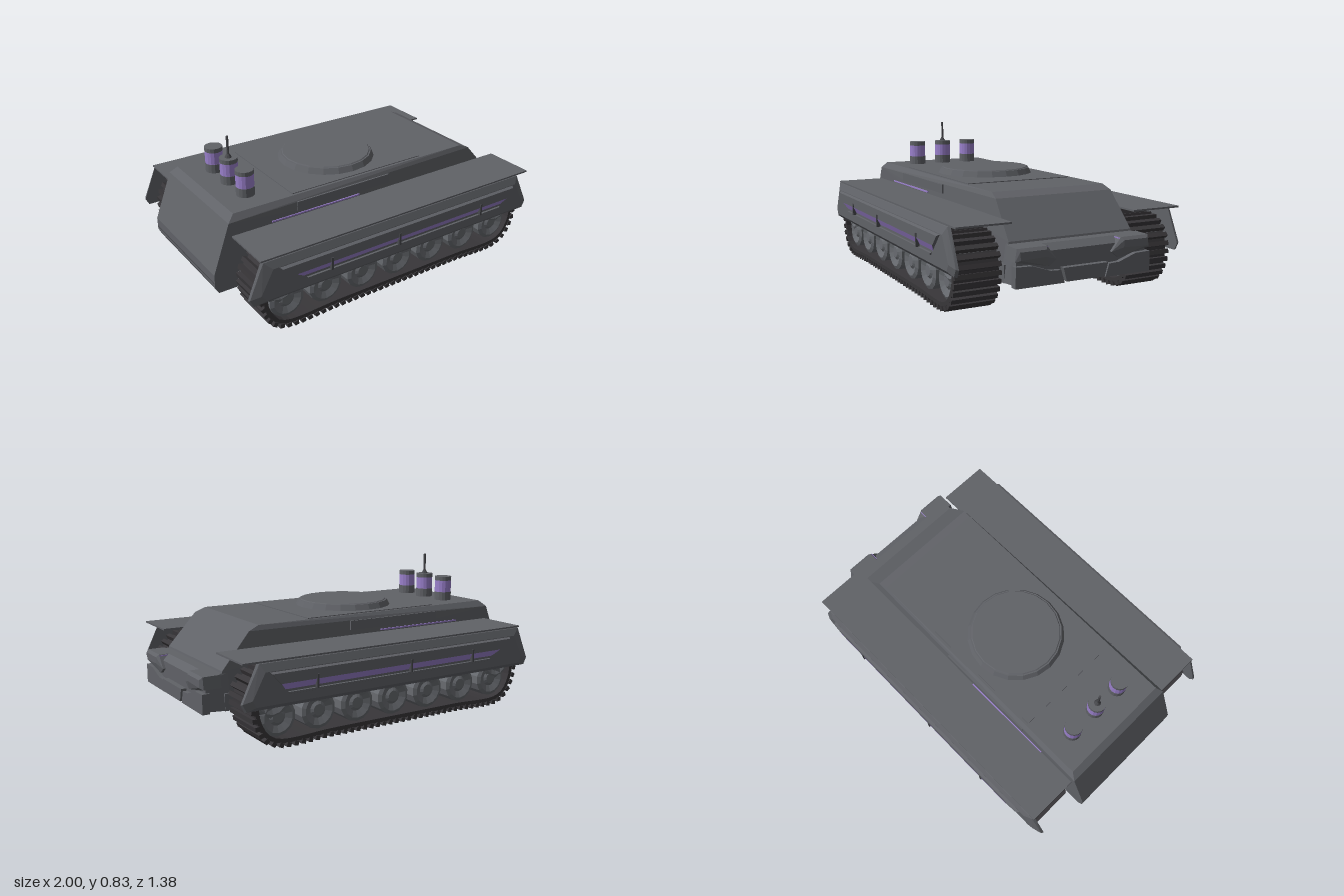
import * as THREE from 'three';
import { mergeGeometries } from 'three/addons/utils/BufferGeometryUtils.js';
import { ConvexGeometry } from 'three/addons/geometries/ConvexGeometry.js';

export function createModel() {
  const model = new THREE.Group();
  model.name = 'trackedCarrier';
  const paint = (name, color, flat = true) => {
    const m = new THREE.MeshStandardMaterial({ color, flatShading: flat });
    m.name = name;
    return m;
  };
  const armor = paint('armorGrey', 0x606267);
  const metal = paint('wheelGrey', 0x686b70);
  const dark = paint('trackBlack', 0x383639);
  const trim = paint('darkTrim', 0x48494d);
  const purple = paint('purple', 0x9a80cc);

  const add = (name, geo, mat, x = 0, y = 0, z = 0) => {
    const mesh = new THREE.Mesh(geo, mat);
    mesh.name = name;
    mesh.position.set(x, y, z);
    model.add(mesh);
    return mesh;
  };
  const convex = (pts) => new ConvexGeometry(pts.map((p) => new THREE.Vector3(...p)));
  const bothSides = (pts) => convex(pts.flatMap(([x, y, z]) => [[x, y, z], [x, y, -z]]));
  const box = (w, h, d) => new THREE.BoxGeometry(w, h, d);
  const cyl = (r0, r1, h, n = 16) => new THREE.CylinderGeometry(r0, r1, h, n);

  // Hull with sloped ends and chamfered roof edges
  add('hull', bothSides([
    [-0.98, 0.16, 0.365], [-1, 0.2, 0.365], [-1, 0.27, 0.365], [-0.9, 0.535, 0.36],
    [-0.86, 0.57, 0.335], [0.65, 0.57, 0.335], [0.71, 0.545, 0.345], [0.87, 0.36, 0.36],
    [0.9, 0.24, 0.365], [0.9, 0.16, 0.365],
  ]), armor);
  add('lowerHull', box(1.74, 0.09, 0.77), armor, 0, 0.205, 0);
  add('deckPlate', box(0.85, 0.008, 0.64), armor, -0.08, 0.57, 0);
  add('hullEndSeam', box(0.006, 0.006, 0.72), trim, -0.998, 0.22, 0);
  for (const s of [1, -1]) {
    add('hullSidePanel', box(0.6, 0.05, 0.01), armor, -0.2, 0.515, s * 0.358);
    add('hullSideStripe', box(0.55, 0.008, 0.009), purple, -0.38, 0.472, s * 0.362);
  }

  // Turret ring on the roof
  add('turretRing', cyl(0.262, 0.28, 0.035, 20), armor, -0.085, 0.5875, 0);
  add('turretRingCap', cyl(0.25, 0.256, 0.006, 20), armor, -0.085, 0.607, 0);

  // Three roof canisters with purple bands, antenna on the middle one
  for (const z of [-0.18, 0, 0.178]) {
    add('canisterBase', cyl(0.05, 0.05, 0.055), armor, -0.705, 0.5925, z);
    add('canisterBand', cyl(0.049, 0.049, 0.072), purple, -0.705, 0.655, z);
    add('canisterCap', cyl(0.05, 0.05, 0.024), armor, -0.705, 0.702, z);
  }
  add('antennaBase', cyl(0.008, 0.02, 0.022, 8), trim, -0.705, 0.724, 0);
  add('antenna', cyl(0.007, 0.007, 0.115, 8), trim, -0.705, 0.778, 0);

  // End bumper: core block, faceted side blocks and a central lower plate
  const slab = (pts, depth) => {
    const shape = new THREE.Shape(pts.map((p) => new THREE.Vector2(...p)));
    return new THREE.ExtrudeGeometry(shape, { depth, bevelEnabled: false }).rotateY(Math.PI / 2);
  };
  add('bumperCore', bothSides([
    [0.84, 0.16, 0.385], [0.84, 0.35, 0.36], [0.93, 0.35, 0.36], [0.97, 0.32, 0.37],
    [0.97, 0.17, 0.385],
  ]), armor);
  for (const s of [1, -1]) {
    const m = (pts) => pts.map(([z, y]) => [z * s, y]);
    add('bumperUpperBlock', convex([
      ...m([[0.38, 0.35], [0.215, 0.35], [0.215, 0.305], [0.16, 0.28], [0.2, 0.25], [0.3, 0.28], [0.39, 0.285]])
        .flatMap(([z, y]) => [[0.89, y, z], [0.985, y, z]]),
      ...m([[0.37, 0.335], [0.225, 0.335], [0.225, 0.3], [0.365, 0.295]]).map(([z, y]) => [1, y, z]),
    ]), armor);
    add('bumperLowerBlock', slab(m([[0.39, 0.265], [0.3, 0.262], [0.2, 0.228], [0.14, 0.225], [0.12, 0.16], [0.39, 0.16]]), 0.04),
      armor, 0.955, 0, 0);
    add('bumperLamp', box(0.06, 0.035, 0.009), purple, 0.955, 0.328, s * 0.212);
  }
  add('bumperPlate', slab([[-0.13, 0.235], [0.13, 0.235], [0.11, 0.165], [-0.11, 0.165]], 0.03), armor, 0.97, 0, 0);

  // Closed track path, sampled evenly
  const half = [[0, 0.035], [0.4, 0.035], [0.73, 0.035], [0.8, 0.08], [0.845, 0.18],
    [0.835, 0.29], [0.76, 0.365], [0.6, 0.38], [0.3, 0.38]];
  const loop = [...half, [0, 0.38], ...half.slice(1).reverse().map(([x, y]) => [-x, y])];
  const path = new THREE.CatmullRomCurve3(loop.map(([x, y]) => new THREE.Vector3(x - 0.02, y, 0)), true, 'centripetal');
  const COUNT = 92;
  const pads = [], outer = [], inner = [];
  for (let i = 0; i < COUNT; i++) {
    const p = path.getPointAt(i / COUNT);
    const t = path.getTangentAt(i / COUNT);
    outer.push(new THREE.Vector2(p.x, p.y));
    inner.push(new THREE.Vector2(p.x - t.y * 0.022, p.y + t.x * 0.022));
    const pad = box(0.024, 0.024, 0.25).rotateZ(Math.atan2(t.y, t.x) + 0.25);
    pads.push(pad.translate(p.x + t.y * 0.01, p.y - t.x * 0.01, 0));
  }
  const beltShape = new THREE.Shape(outer);
  beltShape.holes.push(new THREE.Path(inner));
  const belt = new THREE.ExtrudeGeometry(beltShape, { depth: 0.24, bevelEnabled: false }).translate(0, 0, -0.12);
  const padGeo = mergeGeometries(pads);

  // Dished road wheel, symmetrical front to back
  const profile = [[0, -0.095], [0.03, -0.095], [0.045, -0.085], [0.08, -0.1], [0.1, -0.09],
    [0.1, 0.09], [0.08, 0.1], [0.045, 0.085], [0.03, 0.095], [0, 0.095]];
  const wheel = new THREE.LatheGeometry(profile.map((p) => new THREE.Vector2(...p)), 14).rotateX(Math.PI / 2);

  // Skirt panel strip: a y/z section stretched between slanted ends
  const strip = (section, s) => convex(section.flatMap(([y, z]) => [
    [-0.8 + (0.41 - y) * 1.44, y, z * s], [0.77 - (0.41 - y) * 0.9, y, z * s]]));

  for (const s of [1, -1]) {
    const z = s * 0.51;
    add('trackBelt', belt, dark, 0, 0, z);
    add('trackPads', padGeo, dark, 0, 0, z);
    for (let i = 0; i < 7; i++) add('roadWheel', wheel, metal, -0.72 + i * 0.235, 0.157, z);
    for (const x of [-0.76, 0.72]) add('endWheel', wheel, metal, x, 0.255, z);

    // Fender and faceted side skirt
    add('fender', box(1.785, 0.009, 0.295), armor, 0.006, 0.457, s * 0.505);
    add('skirt', convex([
      ...[[-0.96, 0.26], [-0.94, 0.222], [0.89, 0.222], [0.91, 0.26], [0.82, 0.455], [-0.88, 0.455]]
        .map(([x, y]) => [x, y, s * 0.64]),
      ...[[-0.955, 0.265], [-0.935, 0.225], [0.885, 0.225], [0.905, 0.265], [0.815, 0.45], [-0.875, 0.45]]
        .map(([x, y]) => [x, y, s * 0.655]),
      ...[[-0.9, 0.28], [-0.87, 0.245], [0.84, 0.245], [0.86, 0.28], [0.79, 0.41], [-0.83, 0.41]]
        .map(([x, y]) => [x, y, s * 0.672]),
    ]), armor);
    add('skirtPanel', strip([[0.412, 0.66], [0.4, 0.688], [0.345, 0.688], [0.313, 0.668], [0.313, 0.66]], s), armor);
    add('skirtStripe', strip([[0.347, 0.69], [0.343, 0.686], [0.313, 0.672], [0.311, 0.664]], s), purple);
    add('skirtLedge', strip([[0.303, 0.66], [0.3, 0.682], [0.29, 0.682], [0.282, 0.66]], s), armor);
    for (const x of [-0.5, -0.07, 0.51]) add('skirtBracket', box(0.012, 0.07, 0.025), trim, x, 0.335, s * 0.68);
  }
  return model;
}
